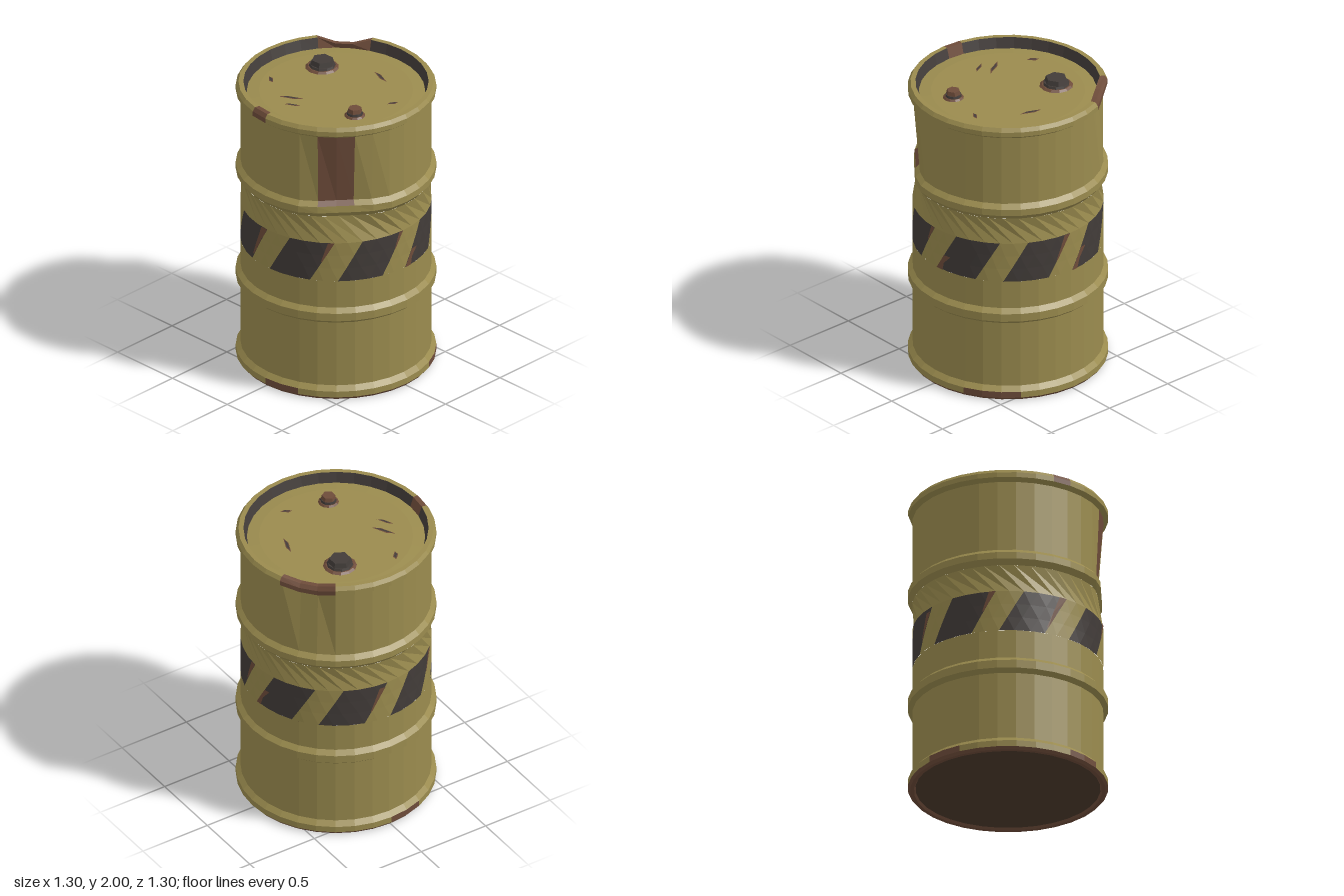
import * as THREE from 'three';

const RAD = Math.PI / 180;
const R = 0.62;

const mat = (name, color) => {
  const m = new THREE.MeshStandardMaterial({ color });
  m.name = name;
  return m;
};

export function createModel() {
  const olive = mat('olive paint', 0x9a8b4e);
  const rust = mat('rust', 0x6e4c3a);
  const dark = mat('dark paint', 0x423c39);
  const base = mat('dark rust', 0x4e3b2d);
  const palette = [olive, rust, dark, base];

  const group = new THREE.Group();
  const add = (name, geometry, material, parent = group) => {
    const mesh = new THREE.Mesh(geometry, material);
    mesh.name = name;
    parent.add(mesh);
    return mesh;
  };

  // Dents: a vertical crease in the upper wall and a crushed stretch of top rim
  const peak = (v, centre, half) => Math.max(0, 1 - Math.abs(v - centre) / half);
  const dent = (r, deg, y) => {
    const az = ((deg % 360) + 360) % 360;
    const wy = y >= 1.4 ? (1.92 - y) / 0.52 : (y - 1.14) / 0.26;
    r -= r > 0.55 ? 0.06 * peak(az, 50, 26) * Math.min(1, Math.max(0, wy)) : 0;
    if (r > 0.59 && y > 1.91) {
      const w = 0.05 * peak(az, 219.4, 17);
      r -= w;
      y -= w;
    }
    return [r, az, y];
  };

  // Faceted lathe, coloured face by face; angleOf may shift each column
  const turned = (name, profile, sides, colourOf, angleOf = (i) => (i * 360) / sides) => {
    const n = profile.length;
    const geo = new THREE.LatheGeometry(profile.map(([r, y]) => new THREE.Vector2(r, y)), sides);
    const pos = geo.attributes.position;
    for (let i = 0; i <= sides; i++) {
      for (let j = 0; j < n; j++) {
        const [r, a, y] = dent(profile[j][0], angleOf(i, j), profile[j][1]);
        pos.setXYZ(i * n + j, r * Math.sin(a * RAD), y, r * Math.cos(a * RAD));
      }
    }
    const buckets = palette.map(() => []);
    for (let i = 0; i < sides; i++) {
      for (let j = 0; j < n - 1; j++) {
        const a = i * n + j, b = a + n;
        buckets[palette.indexOf(colourOf(i, j))].push(a, b, a + 1, b + 1, a + 1, b);
      }
    }
    geo.setIndex(buckets.flat());
    let start = 0;
    buckets.forEach((list, k) => {
      if (list.length) geo.addGroup(start, list.length, k);
      start += list.length;
    });
    const flat = geo.toNonIndexed();
    flat.computeVertexNormals();
    return add(name, flat, palette);
  };

  // Underside, bottom rim, lower wall and lower rib
  const rustyFoot = [0, 1, 10, 11, 12, 24, 25];
  turned('lowerShell', [
    [0, 0.015], [0.6, 0.015], [0.61, 0], [0.635, 0], [0.65, 0.018], [0.65, 0.06], [R, 0.092],
    [R, 0.555], [0.65, 0.58], [0.65, 0.635], [R, 0.665], [R, 0.86],
  ], 32, (i, j) => {
    if (j === 0) return base;
    if (j < 4) return rust;
    return j === 4 && rustyFoot.includes(i) ? rust : olive;
  });

  // Twisted band with eight slanted dark stripes
  const columns = [1, 10, 20, 29, 37];
  const twist = [0, 5, 10, 15, 0];
  turned('stripedBand', [[R, 0.86], [R, 0.953], [R, 1.047], [R, 1.14], [R, 1.325]], 40,
    (i, j) => (j < 3 && i % 5 < 3 ? dark : olive),
    (i, j) => Math.floor(i / 5) * 45 + columns[i % 5] + twist[j]);

  // Upper rib, upper wall, rolled rim and sunken lid
  turned('upperShell', [
    [R, 1.325], [0.65, 1.36], [0.65, 1.405], [R, 1.435], [R, 1.92], [0.65, 1.942],
    [0.65, 1.975], [0.632, 2], [0.6, 2], [0.578, 1.93], [0.5, 1.937], [0, 1.937],
  ], 32, (i, j) => {
    if (j === 3 || j === 2) return i === 3 || i === 4 ? rust : olive;
    if (j >= 5 && j <= 8 && ((i >= 18 && i <= 20) || i === 31)) return rust;
    return j === 8 ? dark : olive;
  });

  // Rust wear along stripe edges: stripe, edge angle, start, end, width in degrees
  const wear = [
    [7, 29, 0.15, 1, -5], [0, 29, 0.5, 1, -4], [1, 29, 0.6, 1, -3], [2, 1, 0, 0.4, 5],
    [3, 29, 0.4, 1, -4], [4, 1, 0, 0.5, 4], [5, 29, 0.3, 0.9, -4], [6, 29, 0.5, 1, -4],
  ];
  wear.forEach(([k, edge, t0, t1, w]) => {
    const tm = (t0 + t1) / 2;
    const outline = [[t0, 0], [t1, 0], [t1, w], [tm, w * 0.6], [t0, w * (t0 === 0 ? 1 : 0.2)]];
    const points = outline.flatMap(([t, d]) => {
      const a = (k * 45 + edge + 15 * t + d) * RAD;
      return [0.623 * Math.sin(a), 0.86 + 0.28 * t, 0.623 * Math.cos(a)];
    });
    const geo = new THREE.BufferGeometry();
    geo.setAttribute('position', new THREE.Float32BufferAttribute(points, 3));
    geo.setIndex(w < 0 ? [0, 1, 3, 1, 2, 3, 0, 3, 4] : [0, 3, 1, 1, 3, 2, 0, 4, 3]);
    const flat = geo.toNonIndexed();
    flat.computeVertexNormals();
    add('stripeWear', flat, rust);
  });

  // Hex plugs on the lid, each on a rusty washer and dark collar
  const plug = (name, x, z, s, height, hexMaterial) => {
    const part = new THREE.Group();
    part.name = name;
    part.position.set(x, 1.932, z);
    group.add(part);
    const layer = (label, rTop, rBottom, y0, y1, sides, material) => {
      const geo = new THREE.CylinderGeometry(rTop * s, rBottom * s, y1 - y0, sides).toNonIndexed();
      geo.computeVertexNormals();
      const mesh = add(label, geo, material, part);
      mesh.position.y = (y0 + y1) / 2;
      mesh.rotation.y = Math.PI / 6;
    };
    layer('washer', 0.095, 0.117, 0, 0.017, 12, rust);
    layer('collar', 0.082, 0.088, 0.017, 0.032, 10, dark);
    layer('hexHead', 0.07, 0.08, 0.032, height, 6, hexMaterial);
  };
  plug('largePlug', -0.28, -0.155, 1, 0.064, dark);
  plug('smallPlug', 0.33, 0.16, 0.62, 0.06, rust);

  // Scratches on the lid: x and z of both ends, half width
  const scratches = [
    [0.01, -0.345, 0.16, -0.3, 0.016], [0.41, -0.16, 0.375, -0.09, 0.015],
    [-0.43, 0.18, -0.355, 0.225, 0.018], [-0.2, 0.33, -0.055, 0.24, 0.016],
    [-0.105, 0.38, 0, 0.315, 0.012],
  ];
  scratches.forEach(([x0, z0, x1, z1, w]) => {
    const from = new THREE.Vector2(x0, -z0), to = new THREE.Vector2(x1, -z1);
    const along = to.clone().sub(from), len = along.length();
    const side = new THREE.Vector2(-along.y / len, along.x / len);
    const at = (t, s) => from.clone().addScaledVector(along, t).addScaledVector(side, s * w);
    [[0, 1, rust, 1.9395], [0.14, 0.6, dark, 1.9415]].forEach(([t, s, material, y]) => {
      const geo = new THREE.ShapeGeometry(new THREE.Shape([
        at(t, -0.2 * s), at(0.65, -s), at(1 - t, 0.2 * s), at(0.35, s),
      ]));
      geo.rotateX(-Math.PI / 2);
      add(material === rust ? 'scratchEdge' : 'scratch', geo, material).position.y = y;
    });
  });

  return group;
}
